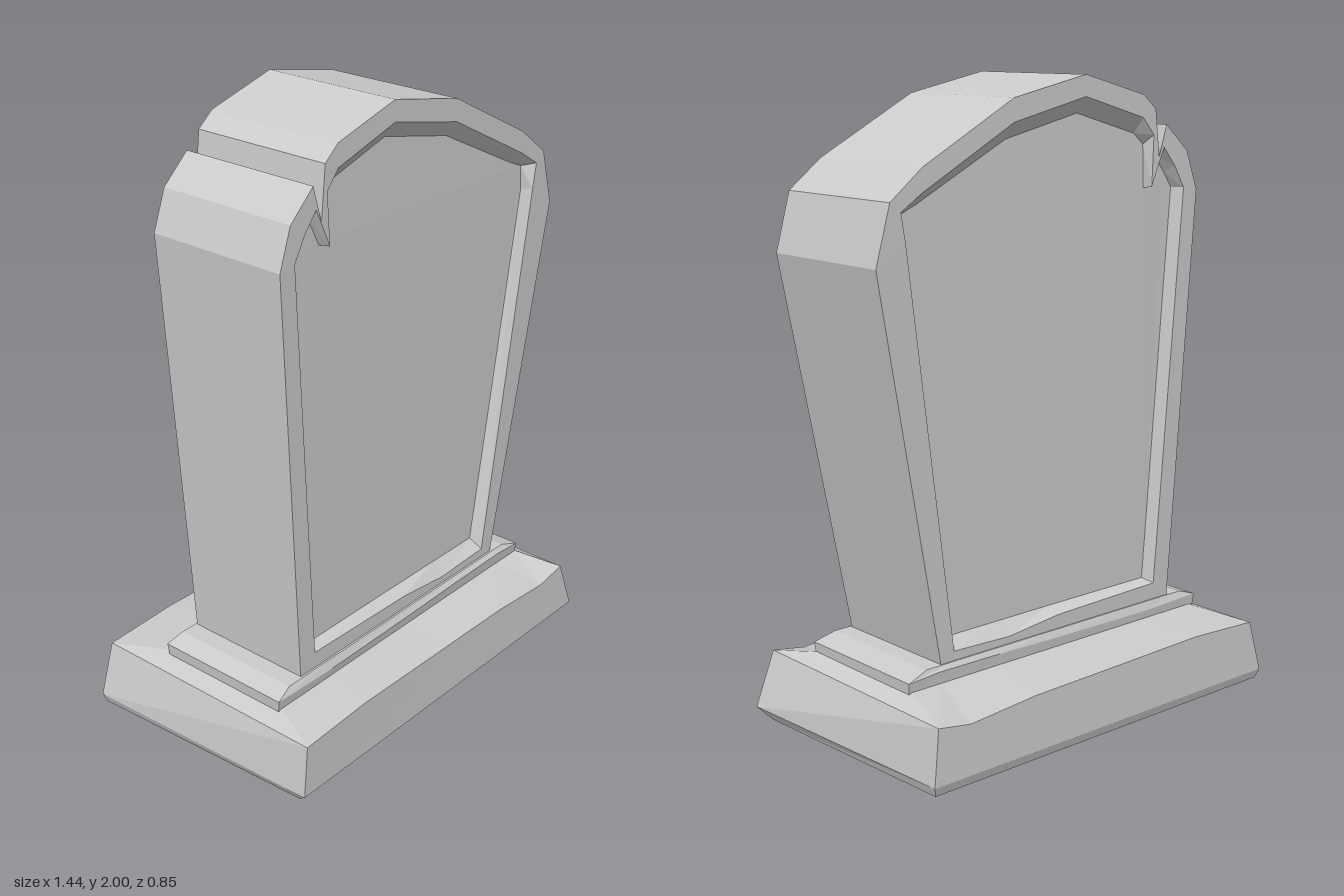
import * as THREE from 'three';

const V = (x, y, z) => new THREE.Vector3(x, y, z);

// Skin a list of equal-length rings and cap both ends; project() flattens a ring for its cap.
function loft(name, rings, project) {
  const n = rings[0].length;
  const index = [];
  for (let r = 0; r < rings.length - 1; r++) {
    for (let i = 0; i < n; i++) {
      const j = (i + 1) % n;
      const a = r * n + i, b = r * n + j;
      index.push(a, b, b + n, a, b + n, a + n);
    }
  }
  const cap = (r, flip) => {
    for (const [a, b, c] of THREE.ShapeUtils.triangulateShape(rings[r].map(project), [])) {
      const o = r * n;
      index.push(o + a, o + (flip ? c : b), o + (flip ? b : c));
    }
  };
  cap(0, true);
  cap(rings.length - 1, false);
  const indexed = new THREE.BufferGeometry().setFromPoints(rings.flat());
  indexed.setIndex(index);
  const geometry = indexed.toNonIndexed();
  geometry.computeVertexNormals();
  const mesh = new THREE.Mesh(geometry,
    new THREE.MeshStandardMaterial({ color: 0xcccccc, flatShading: true }));
  mesh.name = name;
  return mesh;
}

// Headstone outline, inner edge of the raised rim, and edge of the sunken panel
const OUTER = [[0.47, 0.28], [0.705, 1.49], [0.655, 1.67], [0.54, 1.76], [0.2, 1.94], [-0.085, 2],
  [-0.33, 1.935], [-0.385, 1.89], [-0.405, 1.73], [-0.435, 1.84], [-0.53, 1.755], [-0.577, 1.63],
  [-0.5, 0.28], [0, 0.28], [0.2, 0.28]];
const RIM = [[0.42, 0.315], [0.602, 1.56], [0.617, 1.64], [0.54, 1.69], [0.2, 1.87], [-0.085, 1.935],
  [-0.33, 1.865], [-0.378, 1.81], [-0.372, 1.65], [-0.425, 1.77], [-0.475, 1.71], [-0.517, 1.64],
  [-0.435, 0.34], [0, 0.33], [0.2, 0.308]];
const PANEL = [[0.405, 0.35], [0.594, 1.55], [0.588, 1.63], [0.53, 1.655], [0.2, 1.82], [-0.085, 1.885],
  [-0.33, 1.815], [-0.37, 1.78], [-0.374, 1.645], [-0.422, 1.745], [-0.465, 1.69], [-0.5, 1.64],
  [-0.42, 0.352], [0, 0.352], [0.2, 0.351]];

function headstone() {
  // The slab thickens slightly toward the shoulders, then narrows at the crown
  const front = (y) => 0.24 + 0.018 * Math.min(y / 1.6, 1) - 0.02 * Math.max(0, y - 1.6);
  const back = (y) => -0.195 - 0.03 * Math.min(y / 1.6, 1);
  const depth = 0.04;
  const ring = (pts, z) => pts.map(([x, y]) => V(x, y, z(y)));
  return loft('headstone', [
    ring(PANEL, (y) => back(y) + depth),
    ring(RIM, back),
    ring(OUTER, back),
    ring(OUTER, front),
    ring(RIM, front),
    ring(PANEL, (y) => front(y) - depth),
  ], (p) => new THREE.Vector2(p.x, p.y));
}

// Ring around a slab: corners as [x, z] from front left, plus heights along the front, mirrored on the back
const STEPS = [0, 0.2, 0.5, 0.72, 0.91, 1];
function slabRing([fl, fr, br, bl], heights) {
  const edge = (a, b, t, y) => V(a[0] + (b[0] - a[0]) * t, y, a[1] + (b[1] - a[1]) * t);
  const front = STEPS.map((t, i) => edge(fl, fr, t, heights[i]));
  const rear = STEPS.map((t, i) => edge(bl, br, t, heights[i])).reverse();
  return [...front, ...rear];
}
const level = (y) => STEPS.map(() => y);
const plan = (p) => new THREE.Vector2(p.x, -p.z);

function base() {
  return loft('base', [
    slabRing([[-0.67, 0.385], [0.7, 0.36], [0.67, -0.415], [-0.71, -0.415]], level(0)),
    slabRing([[-0.685, 0.42], [0.72, 0.42], [0.68, -0.425], [-0.722, -0.425]], level(0.03)),
    slabRing([[-0.67, 0.42], [0.655, 0.415], [0.66, -0.42], [-0.672, -0.42]],
      [0.205, 0.218, 0.21, 0.205, 0.186, 0.205]),
    slabRing([[-0.6, 0.25], [0.6, 0.25], [0.59, -0.21], [-0.6, -0.21]], level(0.232)),
  ], plan);
}

// Thin step between the base and the headstone, with a sloped top
function step() {
  return loft('step', [
    slabRing([[-0.615, 0.255], [0.6, 0.255], [0.6, -0.21], [-0.615, -0.21]], level(0.215)),
    slabRing([[-0.62, 0.262], [0.603, 0.262], [0.603, -0.215], [-0.62, -0.215]],
      [0.265, 0.258, 0.262, 0.268, 0.27, 0.262]),
    slabRing([[-0.56, 0.25], [0.53, 0.25], [0.53, -0.205], [-0.56, -0.205]], level(0.285)),
  ], plan);
}

export function createModel() {
  const group = new THREE.Group();
  group.name = 'gravestone';
  group.add(base(), step(), headstone());
  return group;
}
